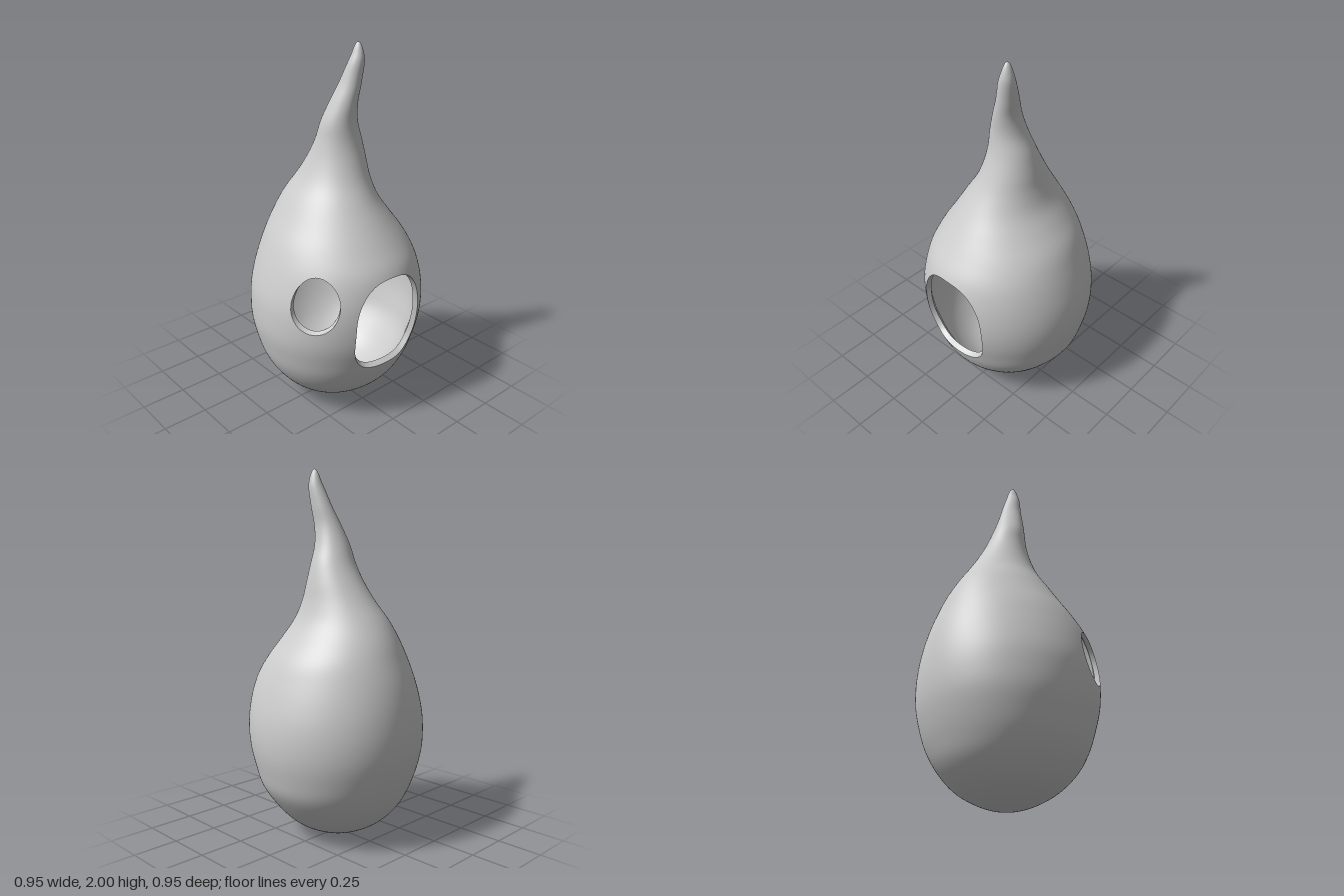
import * as THREE from 'three';

// Rows of the gourd: height, min x, max x, min z, max z
const ROWS = [
  [0, 0, 0, 0, 0], [0.04, -0.175, 0.165, -0.17, 0.17], [0.1, -0.28, 0.265, -0.27, 0.27],
  [0.2, -0.37, 0.355, -0.36, 0.37], [0.3, -0.425, 0.42, -0.41, 0.425], [0.4, -0.455, 0.45, -0.445, 0.46],
  [0.5, -0.475, 0.47, -0.468, 0.488], [0.6, -0.478, 0.475, -0.475, 0.503], [0.7, -0.47, 0.465, -0.47, 0.505],
  [0.8, -0.445, 0.44, -0.455, 0.495], [0.9, -0.41, 0.405, -0.43, 0.465], [1.0, -0.365, 0.36, -0.395, 0.4],
  [1.1, -0.305, 0.29, -0.355, 0.33], [1.2, -0.245, 0.225, -0.3, 0.26], [1.3, -0.18, 0.19, -0.23, 0.2],
  [1.4, -0.135, 0.17, -0.165, 0.16], [1.5, -0.105, 0.145, -0.11, 0.132], [1.6, -0.085, 0.11, -0.07, 0.12],
  [1.7, -0.048, 0.093, -0.03, 0.125], [1.8, -0.008, 0.1, 0.01, 0.132], [1.9, 0.022, 0.105, 0.05, 0.137],
  [1.95, 0.042, 0.097, 0.068, 0.13], [2, 0.07, 0.07, 0.1, 0.1],
];
const toS = (y) => Math.acos(1 - y) / Math.PI; // spaces the rows closely at both tips
const KNOTS = ROWS.map((r) => toS(r[0]));

// Smooth (Hermite) interpolation of one column of the rows
function sample(s, col) {
  let i = 0;
  while (i < KNOTS.length - 2 && s > KNOTS[i + 1]) i++;
  const slope = (k) => {
    const a = Math.max(k - 1, 0), b = Math.min(k + 1, KNOTS.length - 1);
    return (ROWS[b][col] - ROWS[a][col]) / (KNOTS[b] - KNOTS[a]);
  };
  const h = KNOTS[i + 1] - KNOTS[i], t = (s - KNOTS[i]) / h, t2 = t * t, t3 = t2 * t;
  return (2 * t3 - 3 * t2 + 1) * ROWS[i][col] + (t3 - 2 * t2 + t) * h * slope(i)
    + (3 * t2 - 2 * t3) * ROWS[i + 1][col] + (t3 - t2) * h * slope(i + 1);
}

// Point of the wall at an angle (0 = front) and height, moved inward by depth
function wallPoint(theta, y, depth) {
  const s = toS(THREE.MathUtils.clamp(y, 0, 2));
  const [x0, x1, z0, z1] = [1, 2, 3, 4].map((c) => sample(s, c));
  const rx = Math.max((x1 - x0) / 2, 0), rz = Math.max((z1 - z0) / 2, 0);
  const inX = Math.min(depth, rx * 0.5), inZ = Math.min(depth, rz * 0.5);
  return [
    (x0 + x1) / 2 + (rx - inX) * Math.sin(theta),
    y + depth * (1 - y), // lifts the inner floor and lowers the inner tip
    (z0 + z1) / 2 + (rz - inZ) * Math.cos(theta),
  ];
}

// Openings as superellipses in angle and height
const OPENINGS = [
  { name: 'doorRim', theta: -0.03, y: 0.612, a: 0.475, b: 0.262, top: 2.6, bottom: 3.6 },
  { name: 'windowRim', theta: -0.975, y: 0.75, a: 0.28, b: 0.15, top: 2, bottom: 2 },
];
function reach(o, u, v) {
  const n = v > 0 ? o.top : o.bottom;
  return (Math.abs(u) ** n + Math.abs(v) ** n) ** (1 / n);
}

const COLS = 144, LEVELS = 120, WALL = 0.028;

// One skin of the gourd; cells inside an opening are left out and its edge cells fitted to the outline
function skinGeometry(depth, inward) {
  const positions = [], inside = [], index = [];
  for (let i = 0; i <= LEVELS; i++) {
    for (let j = 0; j < COLS; j++) {
      let theta = (j / COLS) * Math.PI * 2 - Math.PI;
      let y = 1 - Math.cos((i / LEVELS) * Math.PI);
      let hole = 0;
      OPENINGS.forEach((o, k) => {
        const u = (theta - o.theta) / o.a, v = (y - o.y) / o.b;
        const f = reach(o, u, v);
        if (f >= 1) return;
        hole = k + 1;
        const g = Math.max(f, 0.01);
        theta = o.theta + (u / g) * o.a;
        y = o.y + (v / g) * o.b;
      });
      inside.push(hole);
      positions.push(...wallPoint(theta, y, depth));
    }
  }
  for (let i = 0; i < LEVELS; i++) {
    for (let j = 0; j < COLS; j++) {
      const k = (j + 1) % COLS;
      const a = i * COLS + j, b = i * COLS + k, c = b + COLS, d = a + COLS;
      if (inside[a] && inside[b] && inside[c] && inside[d]) continue;
      if (inward) index.push(a, c, b, a, d, c);
      else index.push(a, b, c, a, c, d);
    }
  }
  return finish(positions, index);
}

// Band across the wall thickness around an opening
function rimGeometry(o) {
  const positions = [], index = [], n = 96;
  for (let i = 0; i < n; i++) {
    const t = (i / n) * Math.PI * 2, f = reach(o, Math.cos(t), Math.sin(t));
    const theta = o.theta + (o.a * Math.cos(t)) / f, y = o.y + (o.b * Math.sin(t)) / f;
    positions.push(...wallPoint(theta, y, 0), ...wallPoint(theta, y, WALL));
    const a = 2 * i, b = 2 * ((i + 1) % n);
    index.push(a, b, b + 1, a, b + 1, a + 1);
  }
  return finish(positions, index);
}

function finish(positions, index) {
  const geometry = new THREE.BufferGeometry();
  geometry.setAttribute('position', new THREE.Float32BufferAttribute(positions, 3));
  geometry.setIndex(index);
  geometry.computeVertexNormals();
  return geometry;
}

export function createModel() {
  const group = new THREE.Group();
  group.name = 'gourdHouse';
  const grey = new THREE.MeshStandardMaterial({ color: 0xcccccc });
  const greyDouble = new THREE.MeshStandardMaterial({ color: 0xcccccc, side: THREE.DoubleSide });
  const add = (name, geometry, material) => {
    const mesh = new THREE.Mesh(geometry, material);
    mesh.name = name;
    group.add(mesh);
  };
  add('outerShell', skinGeometry(0, false), grey);
  add('innerShell', skinGeometry(WALL, true), grey);
  OPENINGS.forEach((o) => add(o.name, rimGeometry(o), greyDouble));
  return group;
}
